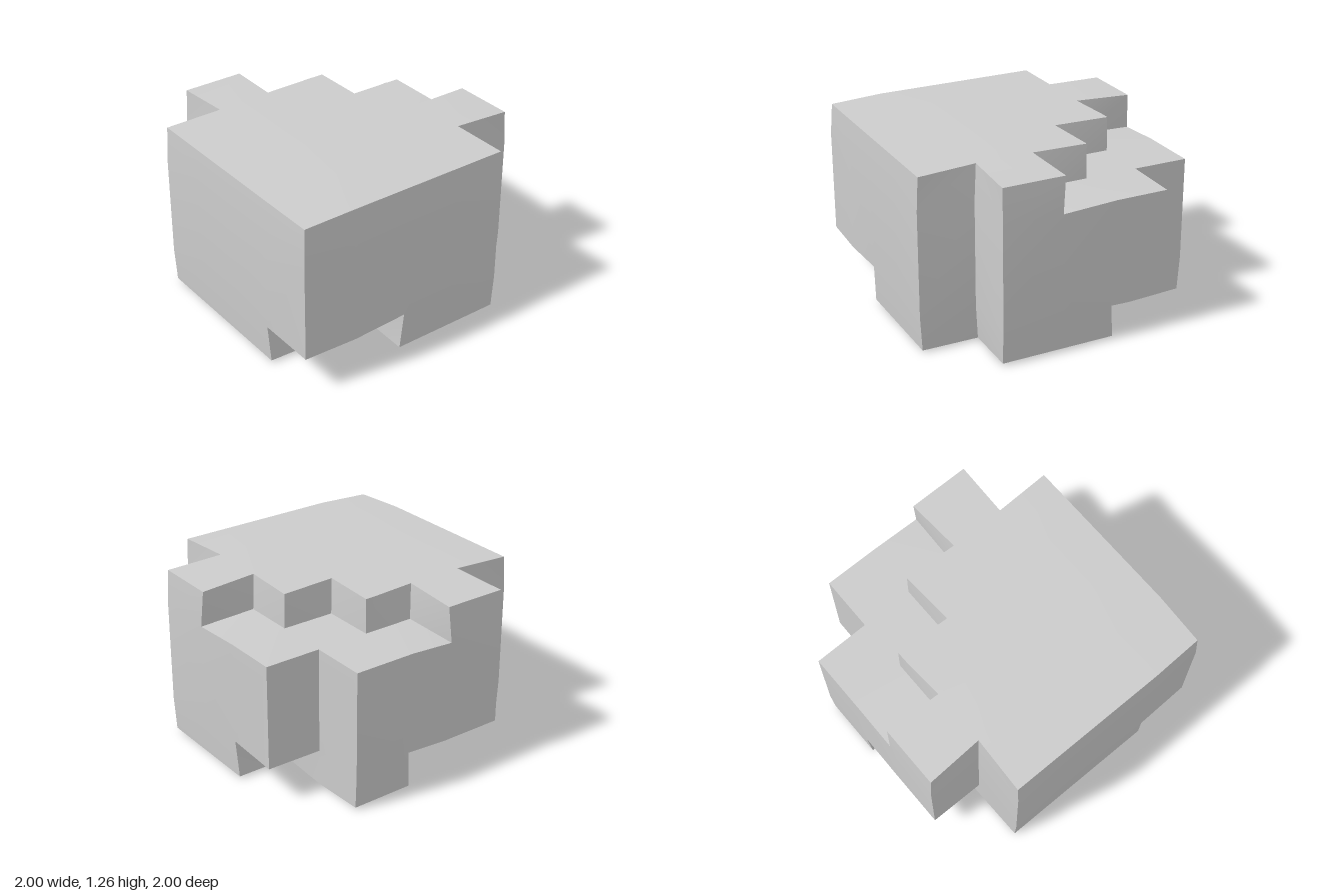
import * as THREE from 'three';
import { toCreasedNormals } from 'three/addons/utils/BufferGeometryUtils.js';

// Grid lines of the stepped block along x, y and z
const LINES = [
  [-1, -0.6, -0.22, 0.15, 0.6, 1],
  [0, 0.26, 1.01, 1.256],
  [-1, -0.6, -0.22, -0.15, 0.15, 0.22, 0.6, 1],
];
const MID = [0, 0.628, 0];
const HALF = [1, 0.628, 1];

// Boxes cut out of the block: [x0, x1, y0, y1, z0, z1]
const CUTS = [
  // full-height corner notches
  [-1, -0.6, 0, 2, -1, -0.6],
  [0.6, 1, 0, 2, -1, -0.6],
  [-1, -0.6, 0, 2, 0.6, 1],
  // stepped terrace in the top
  [-0.6, 0.15, 1, 2, -1, -0.6],
  [-1, -0.22, 1, 2, -0.6, -0.22],
  [-1, -0.6, 1, 2, -0.22, 0.15],
  // notches along the bottom edges
  [0.6, 1, 0, 0.26, 0.22, 1],
  [-0.6, -0.22, 0, 0.26, -1, -0.6],
  [-1, -0.6, 0, 0.26, -0.15, 0.6],
];

const inGrid = (c) => c.every((i, a) => i >= 0 && i < LINES[a].length - 1);

function filled(c) {
  if (!inGrid(c)) return false;
  const m = c.map((i, a) => (LINES[a][i] + LINES[a][i + 1]) / 2);
  return !CUTS.some((b) => m.every((v, a) => v > b[2 * a] && v < b[2 * a + 1]));
}

// Grid corner to point: faces bulge gently, inner corners on the skin draw in
function cornerPoint(idx) {
  const onSkin = idx.map((i, a) => i === 0 || i === LINES[a].length - 1);
  const n = idx.map((i, a) => (LINES[a][i] - MID[a]) / HALF[a]);
  const p = n.map((v, a) => {
    const others = onSkin.filter((s, b) => s && b !== a).length;
    return MID[a] + v * HALF[a] - 0.014 * others * v * v * v;
  });
  if (onSkin.filter(Boolean).length === 1) {
    const empty = [];
    for (let k = 0; k < 8; k++) {
      const c = idx.map((i, a) => i - ((k >> a) & 1));
      if (inGrid(c) && !filled(c)) empty.push(c);
    }
    if (empty.length === 1) {
      onSkin.forEach((s, a) => {
        if (!s) p[a] += empty[0][a] === idx[a] ? -0.02 : 0.02;
      });
    }
  }
  return p;
}

function blockGeometry() {
  const pos = [];
  const counts = LINES.map((l) => l.length - 1);
  for (let x = 0; x < counts[0]; x++)
    for (let y = 0; y < counts[1]; y++)
      for (let z = 0; z < counts[2]; z++) {
        const cell = [x, y, z];
        if (!filled(cell)) continue;
        // add each side that has no neighbour
        for (let d = 0; d < 3; d++)
          for (const s of [0, 1]) {
            const next = [...cell];
            next[d] += s ? 1 : -1;
            if (filled(next)) continue;
            const u = (d + 1) % 3;
            const v = (d + 2) % 3;
            const q = [[0, 0], [1, 0], [1, 1], [0, 1]].map(([i, j]) => {
              const c = [...cell];
              c[d] += s;
              c[u] += i;
              c[v] += j;
              return cornerPoint(c);
            });
            if (!s) q.reverse();
            for (const k of [0, 1, 2, 0, 2, 3]) pos.push(...q[k]);
          }
      }
  const geo = new THREE.BufferGeometry();
  geo.setAttribute('position', new THREE.Float32BufferAttribute(pos, 3));
  return toCreasedNormals(geo, Math.PI / 6);
}

export function createModel() {
  const group = new THREE.Group();
  group.name = 'steppedBlock';
  const block = new THREE.Mesh(
    blockGeometry(),
    new THREE.MeshStandardMaterial({ color: 0xcccccc }),
  );
  block.name = 'notchedBlock';
  group.add(block);
  return group;
}
